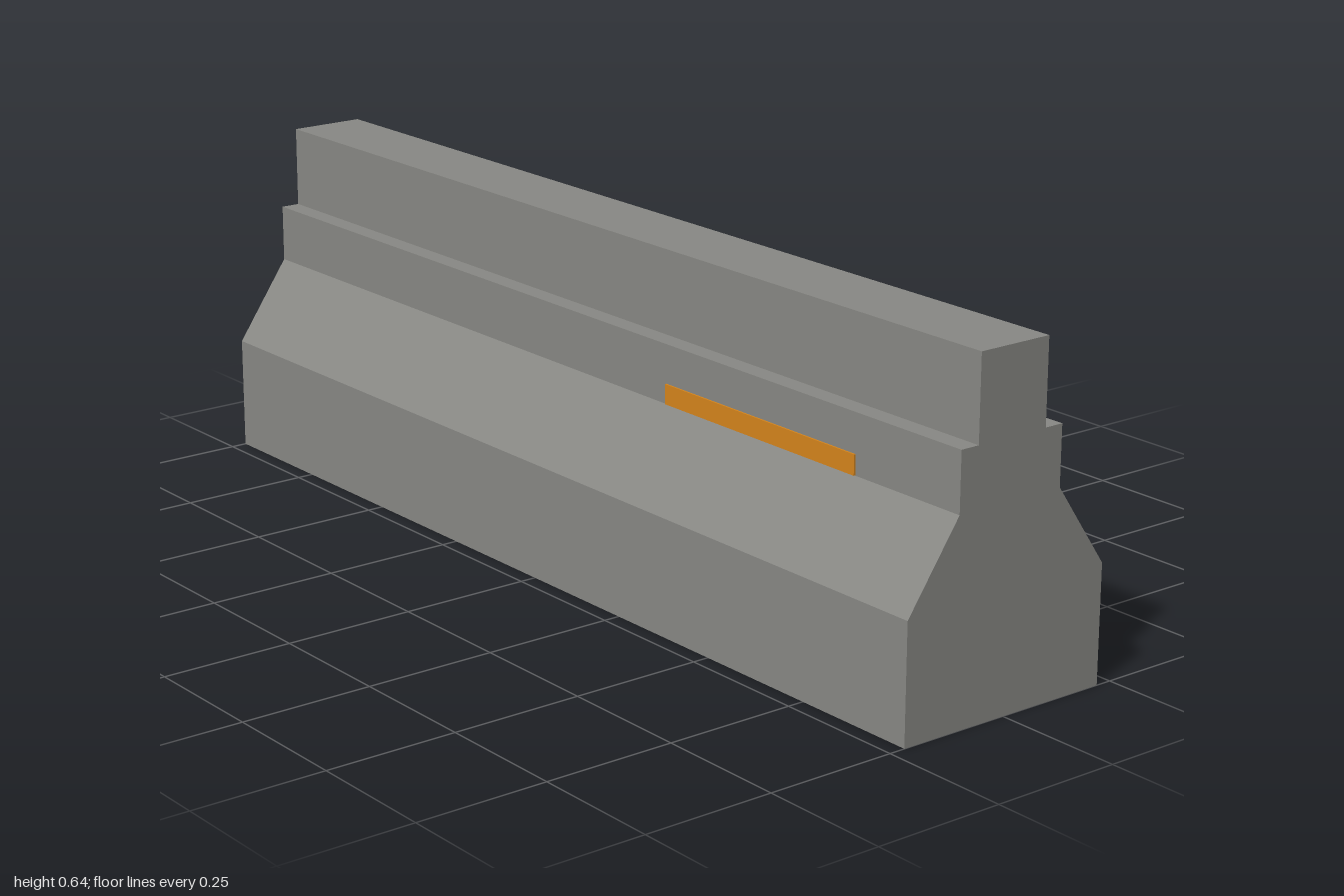
import * as THREE from 'three';

export function createModel() {
  const model = new THREE.Group();
  model.name = 'roadBarrier';
  const concrete = new THREE.MeshStandardMaterial({ name: 'concrete grey', color: 0x888884 });
  const orange = new THREE.MeshStandardMaterial({ name: 'reflector orange', color: 0xd4841c });

  // Half of the cross-section as [depth, height], mirrored to a full outline
  const half = [[0.219, 0], [0.219, 0.22], [0.112, 0.375], [0.112, 0.485], [0.0745, 0.485], [0.0745, 0.641]];
  const outline = [...half, ...half.map(([z, y]) => [-z, y]).reverse()];
  const section = new THREE.Shape(outline.map(([z, y]) => new THREE.Vector2(z, y)));

  // Barrier body, extruded along x
  const bodyGeometry = new THREE.ExtrudeGeometry(section, { depth: 2, bevelEnabled: false });
  bodyGeometry.translate(0, 0, -1).rotateY(Math.PI / 2);
  const body = new THREE.Mesh(bodyGeometry, concrete);
  body.name = 'barrierBody';
  model.add(body);

  // Reflector strip on each face
  for (const side of [1, -1]) {
    const strip = new THREE.Mesh(new THREE.BoxGeometry(0.5, 0.037, 0.006), orange);
    strip.name = side > 0 ? 'frontReflector' : 'backReflector';
    strip.position.set(0.5, 0.394, side * 0.1125);
    model.add(strip);
  }
  return model;
}
